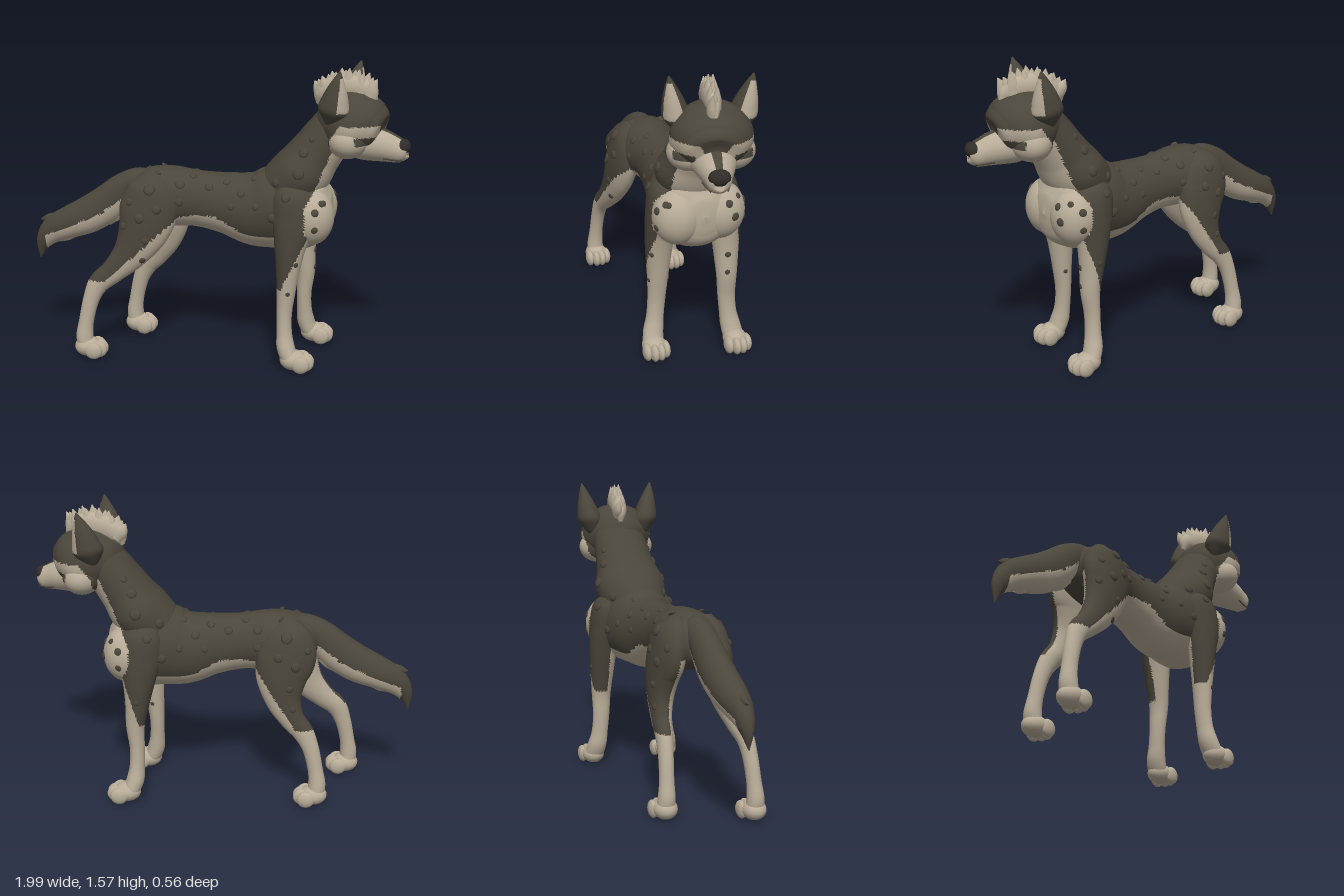
import * as THREE from 'three';

const mat = (name, color) => Object.assign(new THREE.MeshStandardMaterial({ color }), { name });

export function createModel() {
  const dark = mat('darkFur', 0x4b463b), cream = mat('creamFur', 0xb9ad99), black = mat('noseBlack', 0x302c28);
  const model = new THREE.Group();
  model.name = 'dog';
  const head = new THREE.Group();
  head.name = 'head';

  // Sort faces into dark and cream groups by their centre point
  function paint(geo, isCream) {
    const p = geo.attributes.position, idx = geo.index.array, lists = [[], []];
    for (let i = 0; i < idx.length; i += 3) {
      const t = [idx[i], idx[i + 1], idx[i + 2]];
      const mean = (f) => (f(t[0]) + f(t[1]) + f(t[2])) / 3;
      const c = isCream(mean((k) => p.getX(k)), mean((k) => p.getY(k)), mean((k) => p.getZ(k)));
      lists[c ? 1 : 0].push(...t);
    }
    geo.setIndex([...lists[0], ...lists[1]]);
    geo.addGroup(0, lists[0].length, 0);
    geo.addGroup(lists[0].length, lists[1].length, 1);
    return geo;
  }

  // Skin smoothed elliptical sections [x, y, z, in-plane radius, z radius]
  function loft(sections, steps = 10, sides = 40) {
    const curve = (f) => new THREE.CatmullRomCurve3(sections.map(f), false, 'catmullrom', 0.5);
    const path = curve((s) => new THREE.Vector3(s[0], s[1], s[2]));
    const radii = curve((s) => new THREE.Vector3(s[3], s[4], 0));
    const n = (sections.length - 1) * steps, pos = [], idx = [];
    const Z = new THREE.Vector3(0, 0, 1);
    for (let i = 0; i <= n; i++) {
      const c = path.getPoint(i / n), r = radii.getPoint(i / n);
      const N = Z.clone().cross(path.getTangent(i / n)).normalize();
      const a = Math.max(r.x, 0.002), b = Math.max(r.y, 0.002);
      for (let j = 0; j < sides; j++) {
        const th = (j / sides) * Math.PI * 2;
        const v = c.clone().addScaledVector(N, a * Math.cos(th)).addScaledVector(Z, b * Math.sin(th));
        pos.push(v.x, v.y, v.z);
        if (i < n) {
          const k = i * sides + j, l = i * sides + ((j + 1) % sides);
          idx.push(k, l, k + sides, l, l + sides, k + sides);
        }
      }
    }
    const geo = new THREE.BufferGeometry();
    geo.setAttribute('position', new THREE.Float32BufferAttribute(pos, 3));
    geo.setIndex(idx);
    geo.computeVertexNormals();
    return geo;
  }

  const ball = (x, y, z, rx, ry, rz, seg = 20) =>
    new THREE.SphereGeometry(1, seg, Math.ceil(seg * 0.7)).scale(rx, ry, rz).translate(x, y, z);

  function add(parent, name, geo, material) {
    const m = new THREE.Mesh(geo, material);
    m.name = name;
    parent.add(m);
    return m;
  }
  const addPainted = (parent, name, geo, isCream) => add(parent, name, paint(geo, isCream), [dark, cream]);

  // Torso with a pale belly and chest
  const bellyLine = (x) => (x < 0 ? 0.79 - 1.1 * (x + 0.07) ** 2 : Math.max(0.70, 0.79 - 0.55 * x));
  const furFront = (x, y) => x > 0.475 + Math.max(0, y - 0.88) * 0.6 && y < 0.97;
  addPainted(model, 'torso', loft([
    [-0.505, 0.90, 0, 0.01, 0.01], [-0.47, 0.89, 0, 0.09, 0.10], [-0.38, 0.87, 0, 0.14, 0.16],
    [-0.25, 0.86, 0, 0.16, 0.155], [-0.1, 0.85, 0, 0.15, 0.13], [0.05, 0.832, 0, 0.165, 0.14],
    [0.2, 0.81, 0, 0.2, 0.168], [0.33, 0.825, 0, 0.222, 0.195], [0.46, 0.825, 0, 0.22, 0.205],
    [0.55, 0.82, 0, 0.175, 0.175], [0.595, 0.82, 0, 0.1, 0.1], [0.61, 0.82, 0, 0.01, 0.01]], 10, 64),
  (x, y) => y < bellyLine(x) || furFront(x, y));

  // Neck with a pale throat
  addPainted(model, 'neck', loft([
    [0.22, 0.84, 0, 0.1, 0.1], [0.35, 0.935, 0, 0.143, 0.165], [0.44, 1.02, 0, 0.152, 0.195],
    [0.51, 1.12, 0, 0.135, 0.165], [0.58, 1.22, 0, 0.125, 0.15], [0.65, 1.32, 0, 0.11, 0.14]], 10, 56),
  (x, y, z) => x > 0.515 + (y - 0.95) * 0.42 && Math.abs(z) < 0.15);

  // Legs: the right pair stands further forward towards the feet
  const lean = (y, d) => d * THREE.MathUtils.clamp((0.85 - y) / 0.42, 0, 1);
  function paw(x, z, name) {
    const g = new THREE.Group();
    g.name = name;
    model.add(g);
    add(g, 'pad', ball(x, 0.056, z, 0.073, 0.054, 0.062), cream);
    [-1.5, -0.5, 0.5, 1.5].forEach((k) => {
      const reach = Math.abs(k) > 1 ? 0.04 : 0.06;
      add(g, 'toe', ball(x + reach, 0.047, z + k * 0.033, 0.047, 0.046, 0.023, 16), cream);
    });
  }
  const frontLeg = [
    [0.41, 1.0, 0.13, 0.03, 0.03], [0.41, 0.93, 0.145, 0.10, 0.078], [0.42, 0.8, 0.155, 0.115, 0.085],
    [0.405, 0.68, 0.168, 0.086, 0.075], [0.395, 0.56, 0.172, 0.065, 0.066], [0.387, 0.42, 0.174, 0.049, 0.054],
    [0.38, 0.3, 0.178, 0.04, 0.047], [0.382, 0.2, 0.187, 0.04, 0.046], [0.392, 0.12, 0.2, 0.047, 0.053],
    [0.42, 0.05, 0.21, 0.04, 0.05], [0.425, 0.03, 0.21, 0.01, 0.01]];
  const hindLeg = [
    [-0.34, 1.0, 0.08, 0.04, 0.03], [-0.34, 0.93, 0.10, 0.12, 0.075], [-0.345, 0.82, 0.12, 0.155, 0.08],
    [-0.375, 0.7, 0.135, 0.135, 0.075], [-0.44, 0.58, 0.15, 0.095, 0.062], [-0.53, 0.48, 0.165, 0.066, 0.05],
    [-0.61, 0.41, 0.178, 0.056, 0.042], [-0.652, 0.32, 0.187, 0.044, 0.038], [-0.68, 0.2, 0.195, 0.04, 0.038],
    [-0.69, 0.11, 0.2, 0.046, 0.045], [-0.675, 0.05, 0.2, 0.04, 0.045], [-0.67, 0.03, 0.2, 0.01, 0.01]];
  for (const s of [1, -1]) {
    const side = s > 0 ? 'left' : 'right';
    const limb = (list, d) => loft(list.map(([x, y, z, a, b]) => [x + lean(y, d), y, z * s, a, b]), 9, 40);
    const fd = s > 0 ? 0 : 0.07, hd = s > 0 ? 0 : 0.185;
    addPainted(model, side + 'FrontLeg', limb(frontLeg, fd), (x, y, z) => {
      const lx = x - lean(y, fd), out = z * s;
      return y < 0.74 ? lx > 0.36 + (y - 0.44) * 0.48 || out < 0.155 || y < 0.44 : furFront(lx, y);
    });
    addPainted(model, side + 'HindLeg', limb(hindLeg, hd), (x, y, z) => {
      const lx = x - lean(y, hd);
      return y < 0.43 + Math.max(0, lx + 0.57) * 0.92 || (z * s < 0.11 + (0.82 - y) * 0.13 && y < 0.8);
    });
    paw(0.435 + fd, 0.21 * s, side + 'FrontPaw');
    paw(-0.672 + hd, 0.2 * s, side + 'HindPaw');
    addPainted(model, side + 'Chest', ball(0.5, 0.81, 0.11 * s, 0.12, 0.15, 0.127, 48), furFront);
  }

  // Tail with pale underside and loose tufts
  const tailMid = (x) => (x > -0.6 ? 0.79 + (x + 0.6) * 0.7 : 0.69 + (x + 0.8) * 0.45);
  addPainted(model, 'tail', loft([
    [-0.34, 0.95, 0, 0.04, 0.05], [-0.42, 0.935, 0, 0.07, 0.07], [-0.51, 0.88, 0, 0.088, 0.075],
    [-0.6, 0.8, 0, 0.1, 0.082], [-0.7, 0.735, 0, 0.1, 0.085], [-0.8, 0.69, 0, 0.09, 0.08],
    [-0.9, 0.64, 0, 0.075, 0.06], [-0.96, 0.57, 0, 0.045, 0.035], [-0.985, 0.475, 0, 0.002, 0.002]], 10, 48),
  (x, y) => y < tailMid(x) - 0.01 && x > -0.94);
  const tuft = (parent, name, m, a, b, r, w) => add(parent, name, loft([
    [...a, r, w], [(a[0] + b[0]) / 2 - 0.006, (a[1] + b[1]) / 2, (a[2] + b[2]) / 2, r * 0.85, w * 0.8],
    [...b, 0.002, 0.002]], 5, 12), m);
  tuft(model, 'tailTuft', dark, [-0.87, 0.7, 0], [-0.975, 0.695, 0], 0.035, 0.03);
  for (let i = 0; i < 5; i++) {
    const x = -0.52 - i * 0.07, y = 0.78 - i * 0.035;
    tuft(model, 'tailTuft', cream, [x, y, 0], [x - 0.07, y - 0.1 + i * 0.008, 0], 0.04, 0.04);
  }

  // Skull and muzzle, turned slightly to the left
  const face = (x, y, z) => {
    const az = Math.abs(z);
    const eye = az > 0.09 && az < 0.185 && x > 0.705 && Math.abs(y - 1.222) < 0.02;
    const bridge = az < 0.03 + Math.max(0, y - 1.22) * 0.55 && y > 1.2;
    return y < 1.3 && x > 0.625 + Math.max(0, y - 1.22) * 0.7 && !eye && !bridge;
  };
  addPainted(head, 'skull', loft([
    [0.51, 1.30, 0, 0.02, 0.03], [0.55, 1.30, 0, 0.10, 0.11], [0.62, 1.295, 0, 0.15, 0.17],
    [0.69, 1.288, 0, 0.165, 0.195], [0.75, 1.278, 0, 0.157, 0.188], [0.80, 1.258, 0, 0.133, 0.155],
    [0.835, 1.24, 0, 0.09, 0.105], [0.85, 1.235, 0, 0.01, 0.01]], 14, 72), face);
  addPainted(head, 'muzzle', loft([
    [0.68, 1.2, 0, 0.075, 0.1], [0.76, 1.195, 0, 0.092, 0.112], [0.85, 1.183, 0, 0.083, 0.09],
    [0.92, 1.167, 0, 0.068, 0.066], [0.96, 1.155, 0, 0.056, 0.054], [0.98, 1.148, 0, 0.035, 0.035],
    [0.985, 1.148, 0, 0.004, 0.004]], 10, 48),
  (x, y, z) => Math.abs(z) > 0.03 - (x - 0.83) * 0.12 || y < 1.18);
  add(head, 'nose', ball(0.958, 1.185, 0, 0.04, 0.04, 0.052), black);
  for (const s of [1, -1]) {
    const side = s > 0 ? 'left' : 'right';
    addPainted(head, side + 'Cheek', ball(0.7, 1.212, 0.098 * s, 0.1, 0.09, 0.11, 52), face);
    add(head, side + 'Brow', loft([
      [0.70, 1.33, 0.165 * s, 0.01, 0.015], [0.76, 1.33, 0.125 * s, 0.03, 0.05],
      [0.805, 1.322, 0.075 * s, 0.03, 0.045], [0.83, 1.3, 0.035 * s, 0.01, 0.02]], 8, 20), dark);
    // Ear with a pale inner face
    const earX = (y) => 0.63 + (y - 1.33) * 0.2;
    const earZ = (y) => 0.148 + (y - 1.33) * 0.19;
    const earR = (y) => (y < 1.36 ? 0.08 - (1.36 - y) * 0.8 : 0.08 * (1 - ((y - 1.36) / 0.22) ** 1.6));
    addPainted(head, side + 'Ear', loft([1.29, 1.33, 1.37, 1.42, 1.47, 1.52, 1.555, 1.575].map((y) =>
      [earX(y), y, earZ(y) * s, earR(y), earR(y) * 0.84]), 7, 44),
    (x, y, z) => x > earX(y) + earR(y) * 0.45 && z * s > earZ(y) - earR(y) * 0.4 && y > 1.365 && y < 1.54);
    // Mouth line
    const lip = new THREE.CatmullRomCurve3([[0.97, 1.12, 0.036], [0.925, 1.122, 0.05], [0.875, 1.13, 0.066]]
      .map(([x, y, z]) => new THREE.Vector3(x, y, z * s)));
    add(head, side + 'Lip', new THREE.TubeGeometry(lip, 12, 0.004, 6), dark);
  }
  // Crest of pale hair: a solid ridge topped by overlapping tufts
  add(head, 'crestRidge', loft([
    [0.51, 1.37, 0, 0.01, 0.01], [0.535, 1.42, 0, 0.05, 0.035], [0.6, 1.455, 0, 0.065, 0.042],
    [0.69, 1.465, 0, 0.065, 0.042], [0.77, 1.445, 0, 0.05, 0.03], [0.815, 1.4, 0, 0.01, 0.01]], 8, 24), cream);
  for (let i = 0; i < 15; i++) {
    const t = i / 14, w = ((i % 3) - 1) * 0.01;
    tuft(head, 'crest', cream, [0.545 + 0.235 * t, 1.39 + 0.045 * Math.sin(Math.PI * (0.15 + 0.7 * t)), w],
      [0.485 + 0.335 * t, 1.45 + (0.115 - (i % 2) * 0.012) * Math.sin(Math.PI * (0.1 + 0.7 * t)), w * 1.5], 0.04, 0.028);
  }
  const turn = 0.22, pivot = 0.62;
  head.rotation.y = -turn;
  head.position.set(pivot - pivot * Math.cos(turn), 0, -pivot * Math.sin(turn));

  // Raised spots pressed onto the coat along a ray
  model.updateMatrixWorld(true);
  const coat = [...model.children], ray = new THREE.Raycaster();
  function spot(from, dir, r) {
    ray.set(new THREE.Vector3(...from), new THREE.Vector3(...dir));
    const hit = ray.intersectObjects(coat, true)[0];
    if (!hit) return;
    const m = add(model, 'spot', new THREE.SphereGeometry(1, 10, 6).scale(r, r, r * 0.4), dark);
    m.position.copy(hit.point);
    m.quaternion.setFromUnitVectors(new THREE.Vector3(0, 0, 1), hit.face.normal);
  }
  const flankSpots = [
    [-0.33, 0.93, 0.03], [-0.38, 0.78, 0.026], [-0.18, 0.95, 0.024], [-0.03, 0.94, 0.022], [0.09, 0.85, 0.018],
    [0.14, 0.92, 0.022], [0.32, 0.99, 0.024], [0.44, 1.05, 0.03], [0.46, 1.15, 0.026], [0.31, 0.81, 0.024],
    [-0.47, 0.73, 0.02], [-0.29, 0.83, 0.024], [-0.44, 0.86, 0.02], [-0.18, 0.86, 0.02], [-0.37, 0.55, 0.018],
    [-0.35, 0.66, 0.018], [0.53, 0.86, 0.02], [0.57, 0.9, 0.016], [0.53, 0.77, 0.018], [0.22, 0.86, 0.018],
    [0.44, 0.58, 0.014], [0.4, 0.42, 0.012], [0.38, 0.93, 0.024], [0.5, 1.22, 0.018]];
  for (const s of [1, -1]) {
    for (const [x, y, r] of flankSpots) spot([x, y, s], [0, 0, -s], r);
    for (const [x, z] of [[-0.3, 0.08], [-0.12, 0.06], [0.06, 0.08], [0.2, 0.07]]) spot([x, 2, z * s], [0, -1, 0], 0.02);
  }
  for (const [y, z, r] of [[0.88, -0.12, 0.02], [0.81, -0.15, 0.022], [0.9, 0.19, 0.018], [0.55, -0.16, 0.016], [0.45, -0.16, 0.014]])
    spot([2, y, z], [-1, 0, 0], r);

  model.add(head);
  return model;
}
